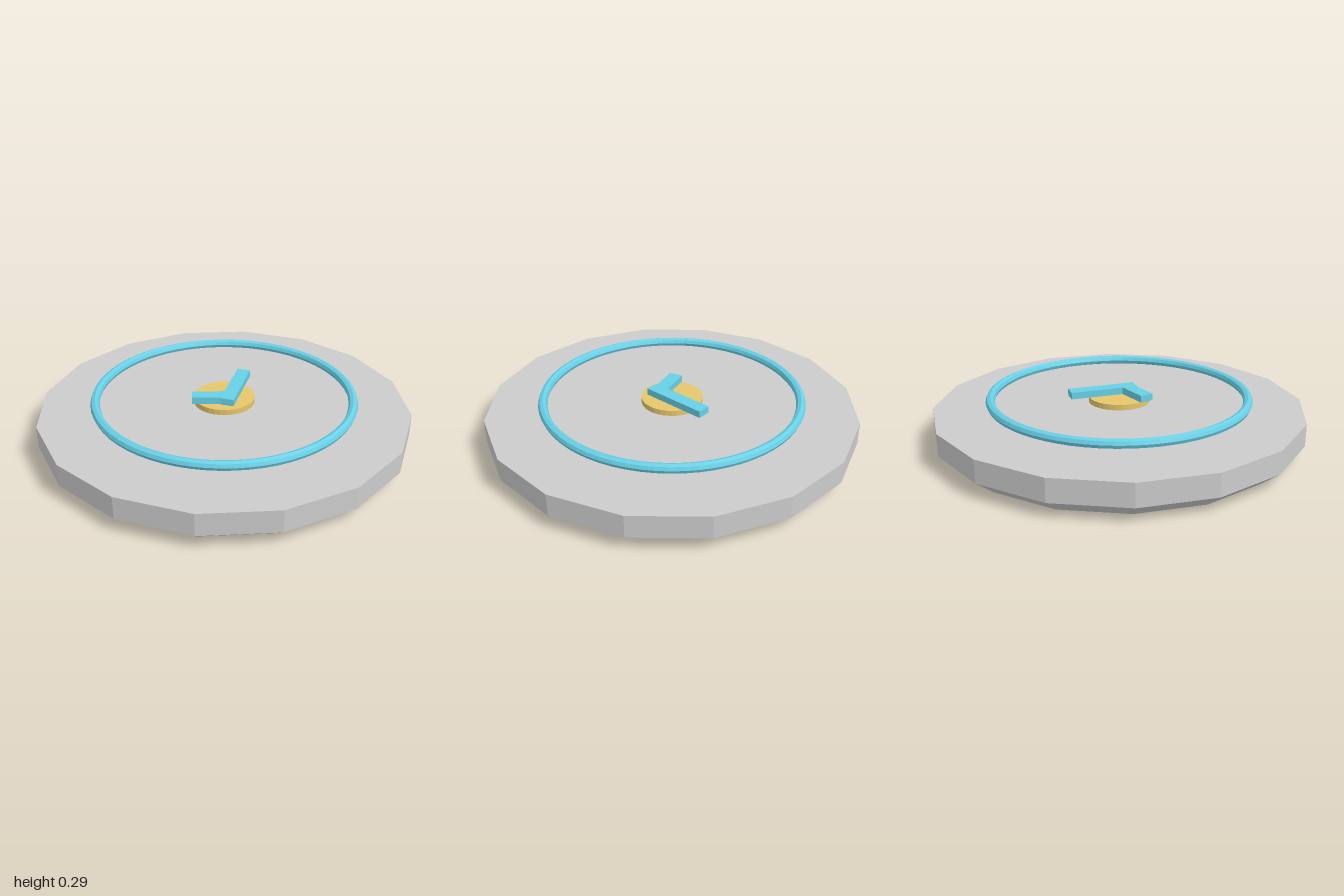
import * as THREE from 'three';

export function createModel() {
  const model = new THREE.Group();
  const flat = (color) => new THREE.MeshStandardMaterial({ color, flatShading: true });
  const grey = flat(0xcccccc), cyan = flat(0x68d0e6), gold = flat(0xe6c66c);

  const add = (name, geometry, material, x, y, z, turn = 0, parent = model) => {
    const mesh = new THREE.Mesh(geometry, material);
    mesh.name = name;
    mesh.position.set(x, y, z);
    mesh.rotation.y = turn;
    parent.add(mesh);
    return mesh;
  };

  // Sixteen-sided slab with a bevelled underside, as one closed profile
  const profile = [[0, 0], [0.9, 0], [1, 0.08], [1, 0.2], [0, 0.2]];
  add('base', new THREE.LatheGeometry(profile.map(([r, y]) => new THREE.Vector2(r, y)), 16), grey, 0, 0, 0);

  // Ring hovering just above the slab
  const ringShape = new THREE.TorusGeometry(0.69, 0.025, 8, 64).rotateX(Math.PI / 2);
  add('ring', ringShape, cyan, 0, 0.25, 0);

  // Small central disc
  add('disc', new THREE.CylinderGeometry(0.165, 0.165, 0.03, 32), gold, 0, 0.235, 0);

  // Tick made of two crossing bars
  const tick = new THREE.Group();
  tick.name = 'tick';
  model.add(tick);
  const bar = (name, length, x, z, turn) =>
    add(name, new THREE.BoxGeometry(length, 0.037, 0.073), cyan, x, 0.269, z, turn, tick);
  bar('tickLongBar', 0.37, 0.089, -0.013, 0.65);
  bar('tickShortBar', 0.2, -0.093, 0.005, -0.65);

  return model;
}
